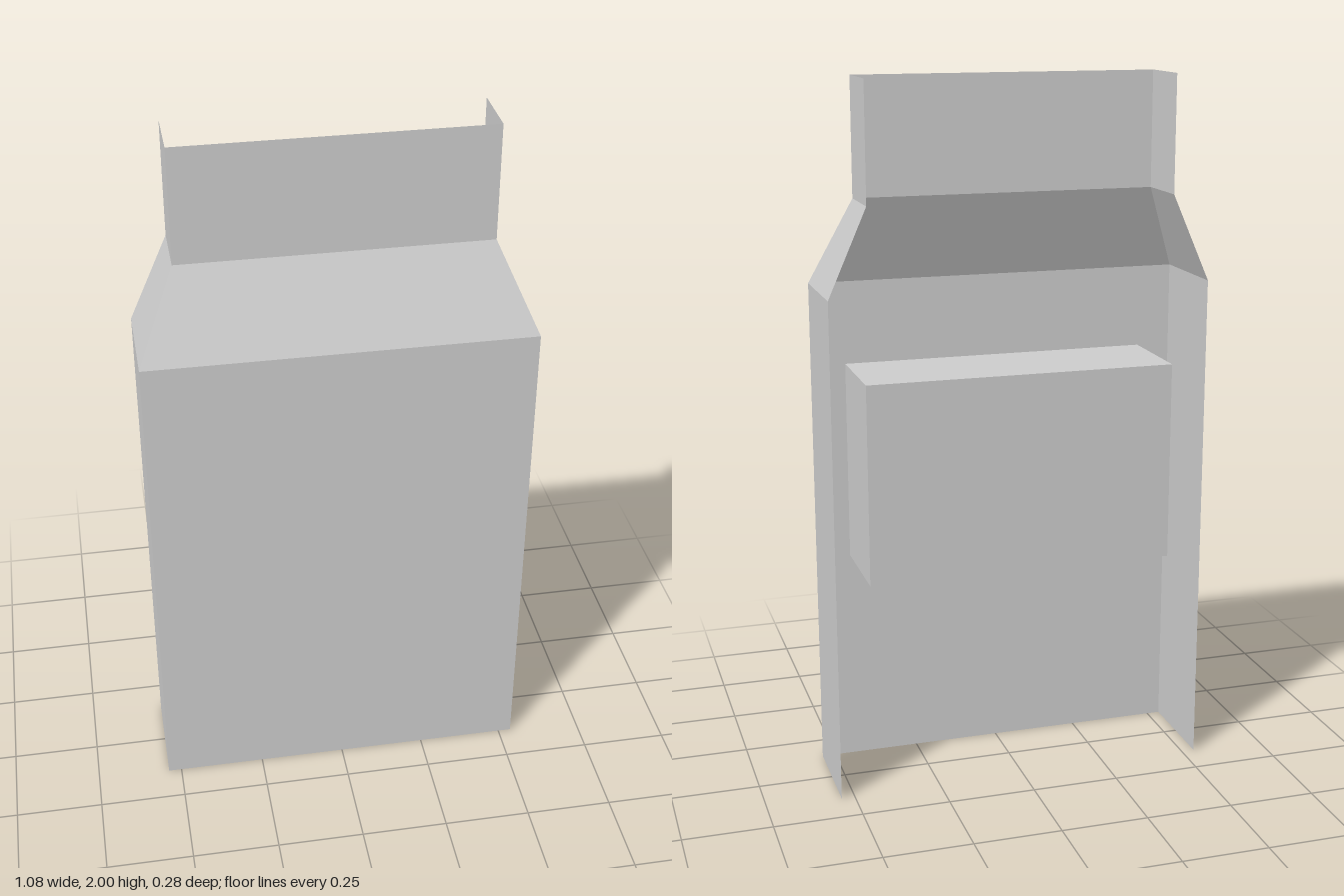
import * as THREE from 'three';

export function createModel() {
  const model = new THREE.Group();
  const grey = new THREE.MeshStandardMaterial({ color: 0xcccccc, side: THREE.DoubleSide });
  grey.name = 'plain grey';

  const back = -0.142;
  // Cross-sections from bottom to top: height, half width, front depth
  const sections = [
    [0, 0.538, 0.142],
    [1.43, 0.538, 0.142],
    [1.674, 0.43, 0.033],
    [2, 0.43, 0.033],
  ];
  // Each section is a U that is open at the back
  const outline = ([y, w, front]) => [[-w, y, back], [-w, y, front], [w, y, front], [w, y, back]];

  // Thin walls between two neighbouring sections
  const addWalls = (name, lower, upper) => {
    const a = outline(lower), b = outline(upper), points = [];
    for (let i = 0; i < 3; i++) {
      points.push(...a[i], ...a[i + 1], ...b[i + 1], ...a[i], ...b[i + 1], ...b[i]);
    }
    const geometry = new THREE.BufferGeometry();
    geometry.setAttribute('position', new THREE.Float32BufferAttribute(points, 3));
    geometry.computeVertexNormals();
    const mesh = new THREE.Mesh(geometry, grey);
    mesh.name = name;
    model.add(mesh);
  };
  ['lowerShell', 'slopedShoulder', 'upperNeck'].forEach((name, i) =>
    addWalls(name, sections[i], sections[i + 1]));

  // Block fixed to the inside of the front wall
  const block = new THREE.Mesh(new THREE.BoxGeometry(0.88, 0.57, 0.273), grey);
  block.name = 'innerBlock';
  block.position.set(0, 0.91, 0.0025);
  model.add(block);

  return model;
}
